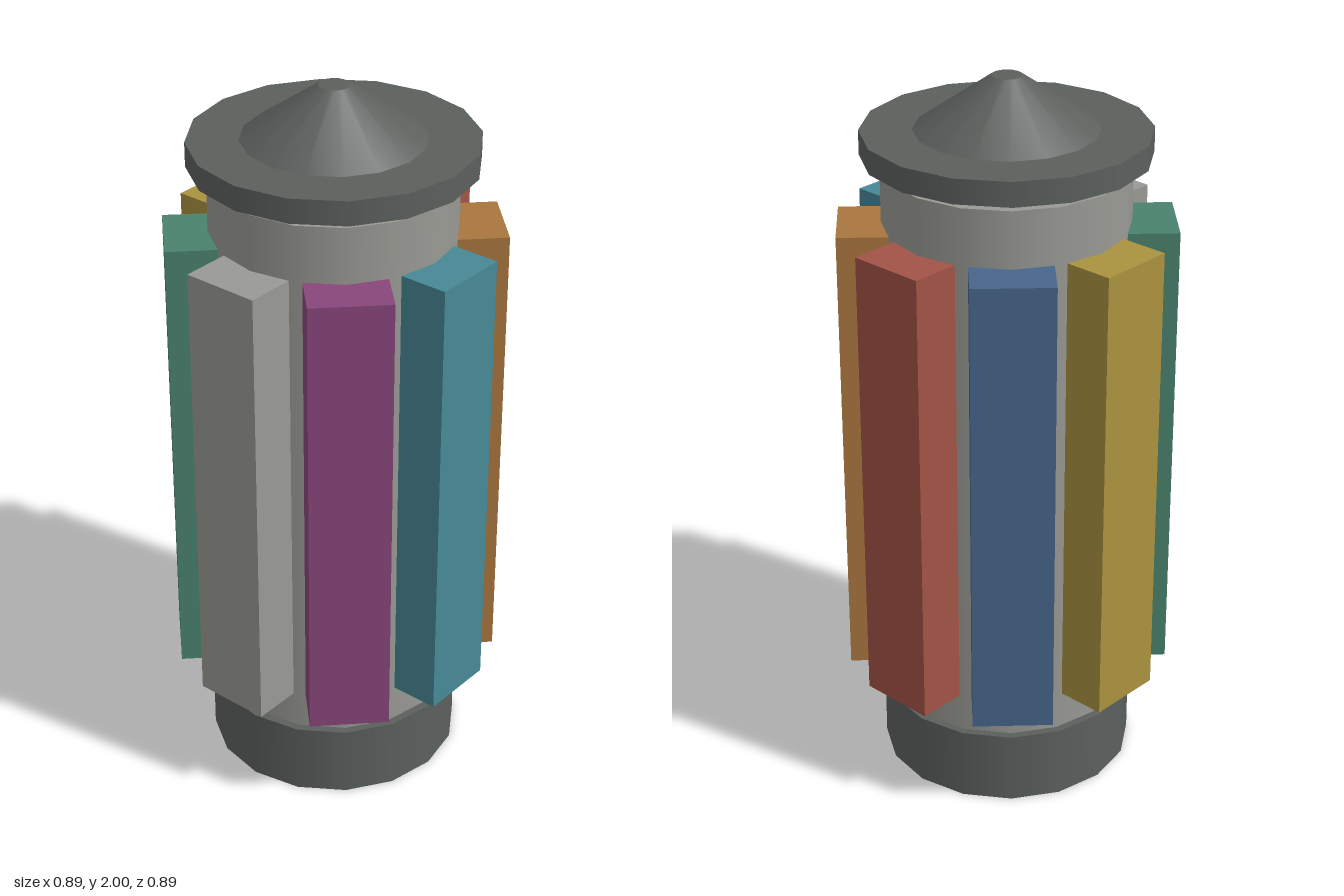
import * as THREE from 'three';

const SIDES = 16;

function material(name, color) {
  const m = new THREE.MeshStandardMaterial({ color });
  m.name = name;
  return m;
}

export function createModel() {
  const model = new THREE.Group();
  model.name = 'barrelTower';

  const dark = material('dark grey', 0x5b605d);
  const grey = material('light grey', 0x999a94);

  const add = (name, geometry, mat, parent = model) => {
    const mesh = new THREE.Mesh(geometry, mat);
    mesh.name = name;
    parent.add(mesh);
    return mesh;
  };
  const drum = (name, top, bottom, y0, y1, mat) => {
    const mesh = add(name, new THREE.CylinderGeometry(top, bottom, y1 - y0, SIDES), mat);
    mesh.position.y = (y0 + y1) / 2;
    return mesh;
  };

  // Core column, base and the floating cap
  drum('base', 0.352, 0.352, 0, 0.207, dark);
  drum('body', 0.33, 0.33, 0.2, 1.76, grey);
  drum('capRim', 0.382, 0.382, 1.79, 1.857, dark);
  drum('capCone', 0.041, 0.244, 1.857, 2, dark);

  // Eight coloured bars around the body, starting at the front and turning towards +x
  const barColors = [
    material('teal', 0x478995),
    material('orange', 0xaa763f),
    material('red', 0xa25346),
    material('blue', 0x47658b),
    material('yellow', 0xaa923f),
    material('green', 0x49826e),
    grey,
    material('purple', 0x89467b),
  ];
  const barGeometry = new THREE.BoxGeometry(0.217, 1.292, 0.155);
  barColors.forEach((mat, i) => {
    const arm = new THREE.Group();
    arm.name = 'barArm' + (i + 1);
    arm.rotation.y = (i * Math.PI) / 4;
    model.add(arm);
    add('bar', barGeometry, mat, arm).position.set(0, 0.958, 0.445 - 0.0775);
  });

  // Keyhole mark below the orange bar
  const hole = new THREE.Shape();
  hole.moveTo(-0.028, 0.2);
  hole.lineTo(0.028, 0.2);
  hole.lineTo(0.016, 0.238);
  hole.absarc(0, 0.25, 0.022, -0.6, Math.PI + 0.6, false);
  hole.closePath();
  const keyhole = new THREE.Group();
  keyhole.name = 'keyholeMount';
  keyhole.rotation.y = Math.PI / 4;
  model.add(keyhole);
  const plate = new THREE.ExtrudeGeometry(hole, { depth: 0.009, bevelEnabled: false, curveSegments: 8 });
  add('keyhole', plate, dark, keyhole).position.z = 0.324;

  return model;
}
